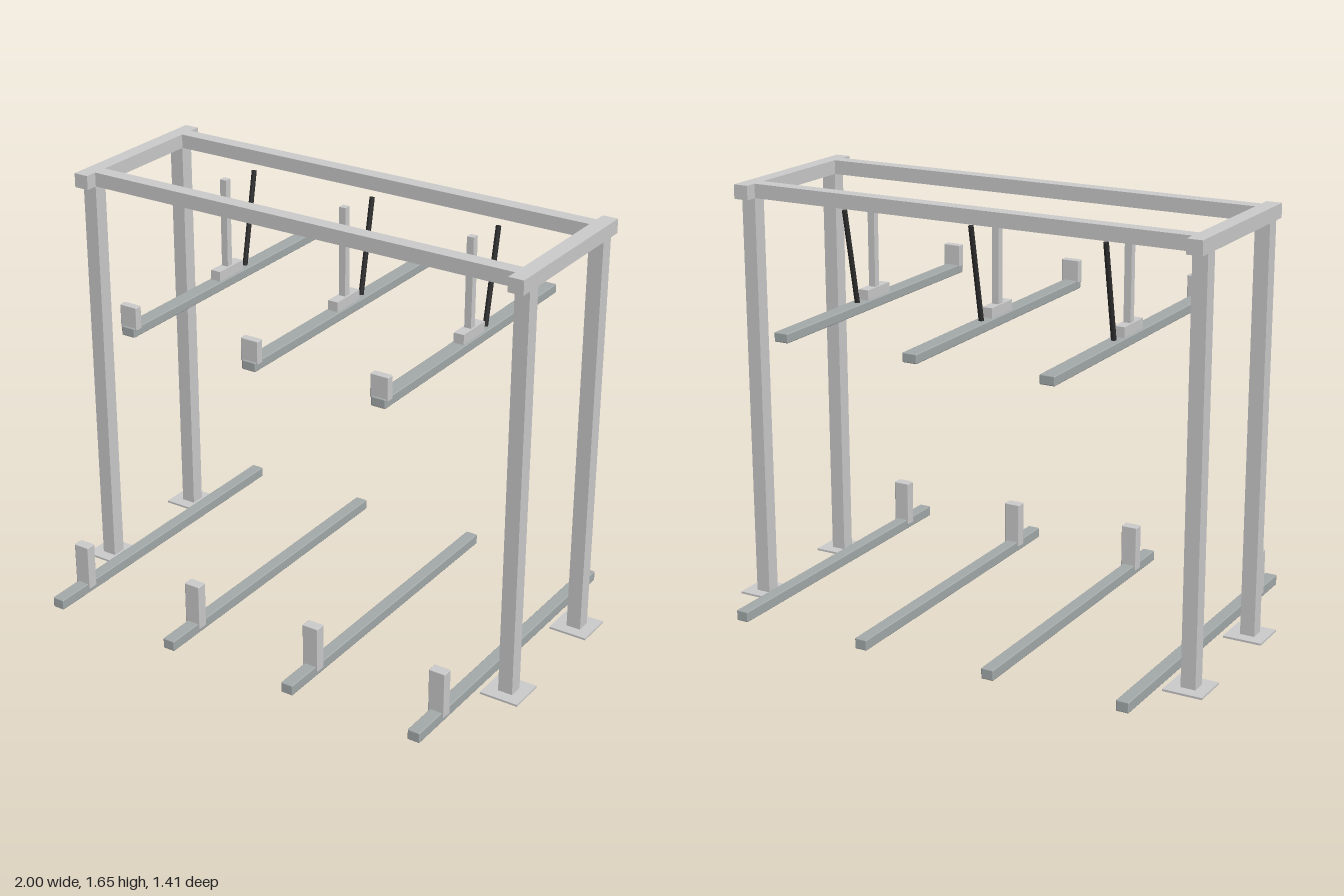
import * as THREE from 'three';
import { RoundedBoxGeometry } from 'three/addons/geometries/RoundedBoxGeometry.js';

const grey = new THREE.MeshStandardMaterial({ color: 0xcccccc });
const railGrey = new THREE.MeshStandardMaterial({ color: 0xa4aaaa });
const dark = new THREE.MeshStandardMaterial({ color: 0x2c2c2c });

export function createModel() {
  const model = new THREE.Group();

  // Box given by its [min, max] range on each axis; bevel softens the edges
  function box(parent, name, x, y, z, material = grey, bevel = 0) {
    const size = [x, y, z].map(([a, b]) => b - a);
    const geometry = bevel
      ? new RoundedBoxGeometry(...size, 2, bevel)
      : new THREE.BoxGeometry(...size);
    const mesh = new THREE.Mesh(geometry, material);
    mesh.name = name;
    mesh.position.set(...[x, y, z].map(([a, b]) => (a + b) / 2));
    parent.add(mesh);
  }
  const around = (c, width) => [c - width / 2, c + width / 2];
  const group = (name, x = 0) => {
    const g = new THREE.Group();
    g.name = name;
    g.position.x = x;
    model.add(g);
    return g;
  };

  // Frame: four posts on foot plates, joined by beams at the top
  const frame = group('frame');
  const postZ = [0.221, -0.316];
  for (const side of [-1, 1]) {
    for (const z of postZ) {
      box(frame, 'post', around(side * 0.925, 0.058), [0.008, 1.6], around(z, 0.057));
      box(frame, 'footPlate', around(side * 0.923, 0.154), [0, 0.008], around(z, 0.15));
    }
    box(frame, 'sideBeam', around(side * 0.925, 0.06), [1.6, 1.655], [-0.392, 0.297]);
  }
  for (const z of postZ) {
    box(frame, 'longBeam', [-0.895, 0.895], [1.6, 1.655], around(z, 0.057));
  }

  // Lower row: rails on the floor with an upright wheel stop
  for (const x of [-0.81, -0.27, 0.27, 0.81]) {
    const tray = group('lowerTray', x);
    box(tray, 'lowerRail', around(0, 0.05), [0.014, 0.056], [-0.642, 0.703], railGrey, 0.004);
    box(tray, 'lowerStop', around(0, 0.066), [0.035, 0.219], [0.509, 0.551], grey, 0.003);
  }

  // Upper row: hanging rails with stop, hanger and sloping strut
  const strutTop = new THREE.Vector3(0, 1.578, -0.276);
  const strutFoot = new THREE.Vector3(0, 1.21, -0.204);
  const strutDir = strutTop.clone().sub(strutFoot);
  for (const x of [-0.54, 0, 0.54]) {
    const tray = group('upperTray', x);
    box(tray, 'upperRail', around(0, 0.058), [1.175, 1.211], [-0.703, 0.53], railGrey, 0.004);
    box(tray, 'upperStop', around(0, 0.073), [1.203, 1.293], [0.494, 0.524], grey, 0.003);
    box(tray, 'hangerBase', around(0, 0.042), [1.211, 1.25], [-0.161, -0.01]);
    box(tray, 'hangerRod', around(0, 0.028), [1.25, 1.6], around(-0.086, 0.028));

    const strut = new THREE.Mesh(
      new THREE.CylinderGeometry(0.01, 0.01, strutDir.length(), 16), dark);
    strut.name = 'strut';
    strut.position.copy(strutTop).add(strutFoot).multiplyScalar(0.5);
    strut.quaternion.setFromUnitVectors(
      new THREE.Vector3(0, 1, 0), strutDir.clone().normalize());
    tray.add(strut);
  }

  return model;
}
